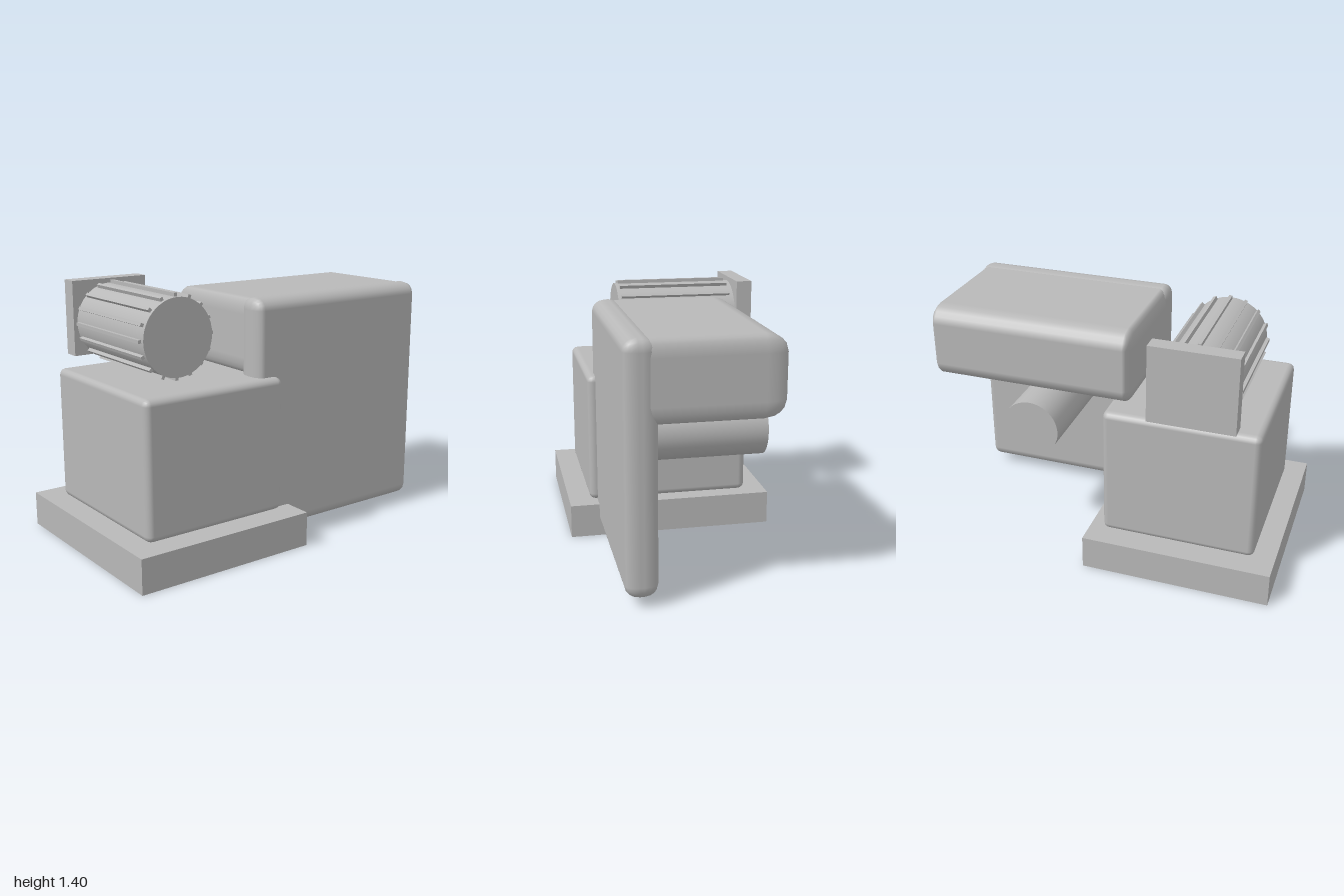
import * as THREE from 'three';
import { RoundedBoxGeometry } from 'three/addons/geometries/RoundedBoxGeometry.js';

export function createModel() {
  const model = new THREE.Group();
  const grey = new THREE.MeshStandardMaterial({ color: 0xb8b8b8 });
  grey.name = 'plain grey';

  function add(name, geometry, parent = model) {
    const mesh = new THREE.Mesh(geometry, grey);
    mesh.name = name;
    parent.add(mesh);
    return mesh;
  }

  // Box given by its low and high corners
  function block(name, [x0, y0, z0], [x1, y1, z1]) {
    const geo = new THREE.BoxGeometry(x1 - x0, y1 - y0, z1 - z0);
    return add(name, geo.translate((x0 + x1) / 2, (y0 + y1) / 2, (z0 + z1) / 2));
  }

  // Softened box whose bevel may differ along x, y and z
  function softBlock(name, [x0, y0, z0], [x1, y1, z1], [bx, by, bz]) {
    const geo = new RoundedBoxGeometry((x1 - x0) / bx, (y1 - y0) / by, (z1 - z0) / bz, 2, 1);
    geo.scale(bx, by, bz);
    return add(name, geo.translate((x0 + x1) / 2, (y0 + y1) / 2, (z0 + z1) / 2));
  }

  // Cylinder lying along x
  function barrel(name, x0, x1, y, z, radius, parent) {
    const geo = new THREE.CylinderGeometry(radius, radius, x1 - x0, 48).rotateZ(Math.PI / 2);
    return add(name, geo.translate((x0 + x1) / 2, y, z), parent);
  }

  // Base and main housing
  block('base', [-0.585, 0, -0.045], [0.585, 0.19, 1]);
  softBlock('housing', [-0.465, 0.19, 0.03], [0.465, 0.93, 0.885], [0.04, 0.035, 0.035]);

  // Finned motor with its end plate
  const motor = new THREE.Group();
  motor.name = 'motor';
  model.add(motor);
  const my = 1.165, mz = 0.538;
  barrel('motorBarrel', -0.47, 0.23, my, mz, 0.21, motor);
  for (let i = 0; i < 16; i++) {
    const fin = new THREE.BoxGeometry(0.655, 0.04, 0.018).translate(0, 0.209, 0);
    fin.rotateX((i * Math.PI) / 8).translate(-0.117, my, mz);
    add('coolingFin', fin, motor);
  }
  block('motorEndPlate', [-0.56, 0.98, 0.305], [-0.47, 1.4, 0.77]);

  // Tall side panel and the deep box hung from its top
  softBlock('sidePanel', [0.25, 0.05, -1], [0.42, 1.35, 0.165], [0.075, 0.065, 0.045]);
  softBlock('upperBox', [-0.38, 0.93, -0.995], [0.4, 1.345, 0.155], [0.11, 0.09, 0.04]);

  // Drum under the upper box and the bracket beside it
  barrel('drum', -0.42, 0.3, 0.73, -0.4, 0.16);
  block('bracket', [-0.12, 0.32, -0.08], [0.27, 0.62, 0.06]);

  return model;
}
